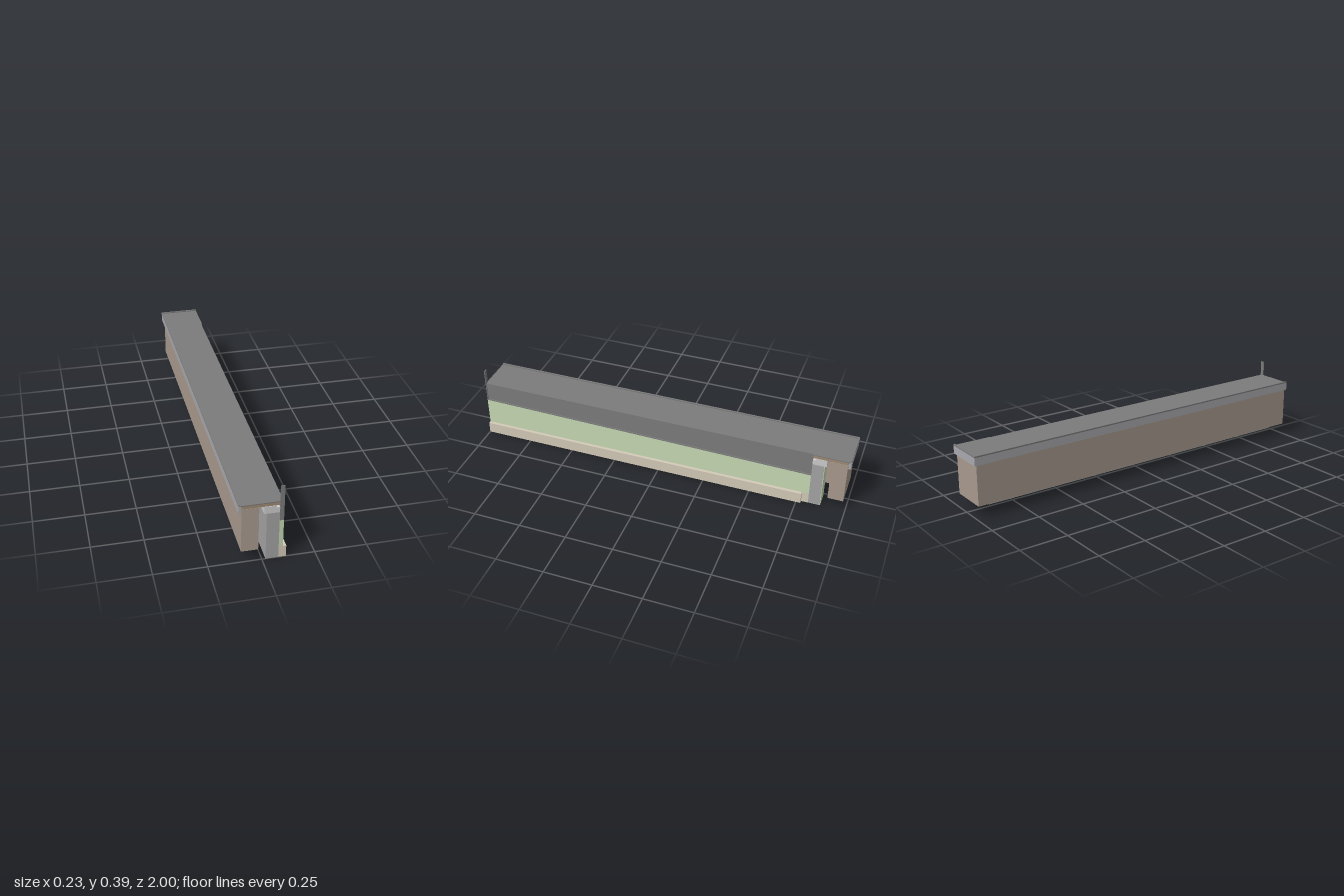
import * as THREE from 'three';

const CUT = 0.097;      // x where the short return is cut off
const TURN = -0.887;    // maps an x offset of the long run to a z offset of the return

export function createModel() {
  const model = new THREE.Group();
  const colors = {
    brick: 0xa89a8e, grey: 0xa3a3a3, pale: 0xd4d3d0, green: 0xc5d9b2,
    beige: 0xd3cab8, timber: 0xa08a74, dark: 0x7b7b7b, trim: 0xa9a9ae,
  };
  const materials = {};
  for (const key in colors) {
    materials[key] = new THREE.MeshStandardMaterial({ color: colors[key], side: THREE.DoubleSide });
  }

  const add = (name, geometry, color) => {
    const mesh = new THREE.Mesh(geometry, materials[color]);
    mesh.name = name;
    model.add(mesh);
  };

  const box = (name, color, x0, x1, y0, y1, z0, z1) => {
    const g = new THREE.BoxGeometry(x1 - x0, y1 - y0, z1 - z0);
    g.translate((x0 + x1) / 2, (y0 + y1) / 2, (z0 + z1) / 2);
    add(name, g, color);
  };

  // L-shaped layer: a long run along z that turns the back corner
  const layer = (name, color, x0, x1, y0, y1) => {
    const plan = [[x0, 1], [x1, 1], [x1, x1 + TURN]];
    if (x1 !== CUT) plan.push([CUT, x1 + TURN]);
    plan.push([CUT, x0 + TURN], [x0, x0 + TURN]);
    const shape = new THREE.Shape(plan.map(([x, z]) => new THREE.Vector2(x, -z)));
    const g = new THREE.ExtrudeGeometry(shape, { depth: y1 - y0, bevelEnabled: false });
    g.rotateX(-Math.PI / 2);
    g.translate(0, y0, 0);
    add(name, g, color);
  };

  // Side profile in (z, y), extruded across x
  const sidePanel = (name, color, x0, x1, points) => {
    const shape = new THREE.Shape(points.map(([z, y]) => new THREE.Vector2(-z, y)));
    const g = new THREE.ExtrudeGeometry(shape, { depth: x1 - x0, bevelEnabled: false });
    g.rotateY(Math.PI / 2);
    g.translate(x0, 0, 0);
    add(name, g, color);
  };

  // Wall layers from outside to inside
  layer('outerWall', 'brick', -0.098, -0.018, 0.06, 0.292);
  layer('innerWall', 'grey', 0.017, 0.077, 0, 0.253);
  layer('wallPlate', 'pale', 0.005, 0.062, 0.253, 0.291);
  layer('plateFiller', 'pale', 0.062, 0.077, 0.253, 0.281);
  layer('baseCourse', 'beige', 0.077, 0.113, 0, 0.06);
  box('returnSheathing', 'green', 0.017, CUT - 0.001, 0.001, 0.252, -0.873, -0.87);

  // Inner lining with a sloping top, and the upstand above it
  const zEnd = 0.077 + TURN;
  sidePanel('lining', 'green', 0.077, 0.097,
    [[1, 0.06], [zEnd, 0.06], [zEnd, 0.18], [1, 0.207]]);
  sidePanel('upstand', 'dark', 0.077, 0.092,
    [[1, 0.207], [zEnd, 0.18], [zEnd, 0.313], [1, 0.313]]);
  sidePanel('upstandLedge', 'dark', 0.092, 0.097,
    [[1, 0.207], [zEnd, 0.18], [zEnd, 0.186], [1, 0.213]]);
  box('endFin', 'dark', 0.077, 0.097, 0.207, 0.393, 0.996, 1);

  // Board and covering over the top
  layer('topBoard', 'timber', -0.098, 0.077, 0.293, 0.308);
  layer('topCovering', 'dark', -0.106, 0.079, 0.308, 0.313);

  // Edge trim with a raised lip and a drip skirt
  layer('edgeSkirt', 'trim', -0.113, -0.099, 0.271, 0.312);
  layer('edgeLip', 'dark', -0.113, -0.105, 0.312, 0.319);

  return model;
}
